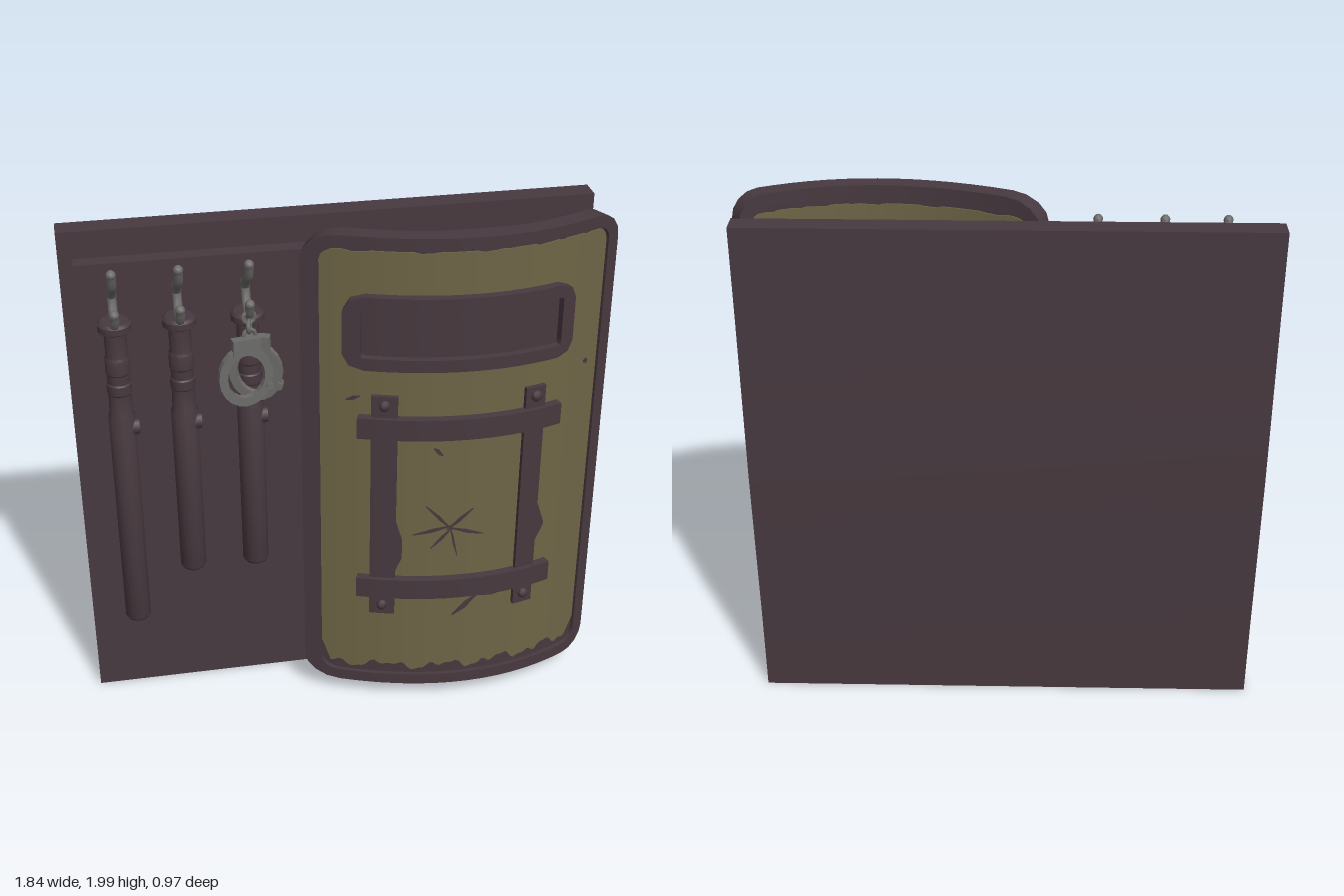
import * as THREE from 'three';
import { toCreasedNormals } from 'three/addons/utils/BufferGeometryUtils.js';

const paint = (name, color) => Object.assign(new THREE.MeshStandardMaterial({ color }), { name });

export function createModel() {
  const brown = paint('dark brown', 0x47393f);
  const olive = paint('worn olive', 0x6e6546);
  const metal = paint('grey metal', 0x6c6b69);
  const model = new THREE.Group();
  const group = (name, parent = model) => {
    const g = new THREE.Group();
    g.name = name;
    parent.add(g);
    return g;
  };
  const add = (parent, name, geo, mat, x = 0, y = 0, z = 0) => {
    const m = new THREE.Mesh(geo, mat);
    m.name = name;
    m.position.set(x, y, z);
    parent.add(m);
    return m;
  };

  // ---- Wall board, turned about the vertical axis
  const wall = group('wallRack');
  wall.position.z = -0.107;
  wall.rotation.y = -0.34;
  const boardGeo = new THREE.BoxGeometry(1.915, 1.975, 0.085, 1, 6, 1);
  const bp = boardGeo.attributes.position;
  for (let i = 0; i < bp.count; i++) { // slight swelling of the back
    const y = bp.getY(i);
    if (bp.getZ(i) < 0) bp.setZ(i, bp.getZ(i) - 0.016 * Math.max(0, 1 - Math.abs(y) / 0.7));
  }
  add(wall, 'board', toCreasedNormals(boardGeo, 0.5), brown, 0, 0.993, 0);
  add(wall, 'hookRail', new THREE.BoxGeometry(1.825, 0.2, 0.06), brown, 0.005, 1.78, 0.071);

  // ---- Hooks with two prongs
  const hookTube = (pts) => new THREE.TubeGeometry(
    new THREE.CatmullRomCurve3(pts.map(([y, z]) => new THREE.Vector3(0, y, z))), 10, 0.017, 7);
  const prongs = {
    upperProng: [[1.75, 0.105], [1.79, 0.135], [1.82, 0.18], [1.85, 0.225], [1.905, 0.25]],
    lowerProng: [[1.79, 0.105], [1.72, 0.13], [1.69, 0.175], [1.70, 0.215], [1.75, 0.24]],
  };
  // ---- Batons hanging below the hooks
  const batonProfile = (bottom) => [
    [0, bottom], [0.042, bottom], [0.049, bottom + 0.012], [0.049, 1.305], [0.043, 1.32],
    [0.041, 1.4], [0.045, 1.405], [0.045, 1.44], [0.041, 1.445], [0.041, 1.48], [0.045, 1.485],
    [0.045, 1.54], [0.04, 1.55], [0.04, 1.64], [0.06, 1.652], [0.06, 1.675], [0.05, 1.685], [0, 1.685],
  ].map(([r, y]) => new THREE.Vector2(r, y));
  [[-0.786, 0.41], [-0.561, 0.62], [-0.321, 0.62]].forEach(([x, bottom]) => {
    const hook = group('hook', wall);
    for (const [name, pts] of Object.entries(prongs)) {
      add(hook, name, hookTube(pts), metal, x);
      const [ty, tz] = pts[pts.length - 1];
      add(hook, 'prongTip', new THREE.SphereGeometry(0.018, 8, 6), metal, x, ty, tz);
    }
    const baton = group('baton', wall);
    const lathe = new THREE.LatheGeometry(batonProfile(bottom), 14);
    add(baton, 'batonBody', toCreasedNormals(lathe, 0.6), brown, x, 0, 0.147);
    const stud = add(baton, 'batonButton', new THREE.CylinderGeometry(0.03, 0.034, 0.03, 8), brown, x + 0.045, 1.26, 0.16);
    stud.rotation.z = -Math.PI / 2;
    stud.scale.z = 0.7;
  });

  // ---- Handcuffs on the third hook
  const cuffShape = new THREE.Shape().absellipse(0, 0, 0.1, 0.118, 0, Math.PI * 2);
  cuffShape.holes.push(new THREE.Path().absellipse(0, 0, 0.068, 0.084, 0, Math.PI * 2, true));
  const cuffGeo = new THREE.ExtrudeGeometry(cuffShape, { depth: 0.024, bevelEnabled: false, curveSegments: 10 });
  cuffGeo.translate(0, 0, -0.012);
  const cuffs = group('handcuffs', wall);
  [[-0.345, 0.243, 0.16, 1], [-0.305, 0.215, -0.3, 0.97]].forEach(([x, z, turn, s]) => {
    const cuff = group('cuff', cuffs);
    cuff.position.set(x, 1.475, z);
    cuff.rotation.y = turn;
    cuff.scale.setScalar(s);
    add(cuff, 'cuffRing', cuffGeo, metal);
    add(cuff, 'lockBlock', new THREE.BoxGeometry(0.1, 0.06, 0.034), metal, 0.005, 0.118, 0);
    add(cuff, 'hinge', new THREE.CylinderGeometry(0.016, 0.016, 0.04, 8).rotateX(Math.PI / 2), metal, 0.085, -0.05, 0);
  });
  for (let i = 0; i < 3; i++) {
    const link = add(cuffs, 'chainLink', new THREE.TorusGeometry(0.022, 0.008, 6, 10), metal, -0.325, 1.625 + i * 0.035, 0.225);
    link.rotation.y = i % 2 ? 1.3 : 0.2;
  }

  // ---- Curved shield: flat (x, y, depth) is bent along a cubic plan curve
  const planZ = (x) => 0.02 + (x + 0.19) * (0.845 + (x - 0.1) * (-0.663 + 0.0935 * (x - 0.5)));
  const bend = (x, y, d) => {
    const slope = (planZ(x + 0.01) - planZ(x - 0.01)) / 0.02;
    const n = Math.hypot(slope, 1);
    return [x - (slope / n) * d, y, planZ(x) + d / n];
  };
  // Skin over four-point rings, either capped or closed into a loop
  const skin = (rings, closed) => {
    const index = [];
    const n = rings.length;
    for (let i = 0; i < (closed ? n : n - 1); i++) {
      for (let k = 0; k < 4; k++) {
        const a = i * 4 + k, b = i * 4 + (k + 1) % 4, j = ((i + 1) % n) * 4;
        const a1 = j + k, b1 = j + (k + 1) % 4;
        index.push(a, b, b1, a, b1, a1);
      }
    }
    const e = (n - 1) * 4;
    if (!closed) index.push(0, 2, 1, 0, 3, 2, e, e + 1, e + 2, e, e + 2, e + 3);
    const geo = new THREE.BufferGeometry();
    geo.setAttribute('position', new THREE.Float32BufferAttribute(rings.flat(2), 3));
    geo.setIndex(index);
    return toCreasedNormals(geo, 0.5);
  };
  const slab = (x0, x1, lo, hi, d0, d1, n = 12) => {
    const at = (f, x) => (typeof f === 'function' ? f(x) : f);
    return skin(Array.from({ length: n + 1 }, (_, i) => {
      const x = x0 + ((x1 - x0) * i) / n, l = at(lo, x), h = at(hi, x);
      return [bend(x, l, d0), bend(x, h, d0), bend(x, h, d1), bend(x, l, d1)];
    }), false);
  };
  const outline = (x0, x1, y0, y1, r, arc, inset) => {
    const corners = [[x1 - r, y0 + r], [x1 - r, y1 - r], [x0 + r, y1 - r], [x0 + r, y0 + r]];
    const pts = [];
    corners.forEach(([cx, cy], c) => {
      const q = r - inset;
      for (let i = 0; i <= arc; i++) {
        const t = (c - 1 + i / arc) * Math.PI / 2;
        pts.push([cx + q * Math.cos(t), cy + q * Math.sin(t)]);
      }
      const [ex, ey] = pts[pts.length - 1], [nx, ny] = corners[(c + 1) % 4], t = c * Math.PI / 2;
      const tx = nx + q * Math.cos(t), ty = ny + q * Math.sin(t);
      for (let i = 1; i < 14; i++) pts.push([ex + (tx - ex) * i / 14, ey + (ty - ey) * i / 14]);
    });
    return pts;
  };
  const frame = (x0, x1, y0, y1, r, arc, w, d0, d1) => {
    const outer = outline(x0, x1, y0, y1, r, arc, 0), inner = outline(x0, x1, y0, y1, r, arc, w);
    return skin(outer.map((o, i) => [bend(...o, d0), bend(...inner[i], d0), bend(...inner[i], d1), bend(...o, d1)]), true);
  };
  const round = (x, x0, x1, r) => {
    const e = Math.max(0, Math.min(x - x0, x1 - x));
    return e < r ? r - Math.sqrt(r * r - (r - e) ** 2) : 0;
  };
  const rag = (x) => 0.012 * Math.sin(x * 31) + 0.01 * Math.sin(x * 67 + 1) + 0.006 * Math.sin(x * 131);

  const shield = group('shield');
  const L = -0.185, R = 0.85;
  add(shield, 'shieldBody', slab(L + 0.01, R - 0.01, (x) => 0.09 + round(x, L, R, 0.1), (x) => 1.985 - round(x, L, R, 0.1), -0.018, 0.018, 48), brown);
  add(shield, 'shieldRim', frame(L, R, 0.08, 2, 0.1, 4, 0.046, -0.034, 0.034), brown);
  const left = -0.15, right = 0.808;
  const low = (x) => 0.165 + rag(x) + 0.13 * Math.max(0, 1 - (x - left) / 0.035) + 0.1 * Math.max(0, 1 - (right - x) / 0.04);
  const high = (x) => 1.945 - round(x, left, right, 0.05) + 0.3 * Math.min(0, rag(x));
  add(shield, 'frontPaint', slab(left, right, low, high, 0.017, 0.023, 80), olive);
  add(shield, 'backPaint', slab(left + 0.02, right - 0.02, low, (x) => high(x) - 0.02, -0.023, -0.017, 60), olive);

  // ---- Viewing window
  add(shield, 'windowPane', slab(-0.06, 0.63, 1.52, 1.76, -0.028, 0.028, 20), brown);
  [[0.02, 0.055], [-0.036, -0.016]].forEach(([d0, d1]) =>
    add(shield, 'windowFrame', frame(-0.075, 0.655, 1.5, 1.785, 0.058, 2, 0.048, d0, d1), brown));

  // ---- Strap frame with bolts
  const straps = group('straps', shield);
  [0.002, 0.495].forEach((x) => {
    add(straps, 'uprightStrap', slab(x, x + 0.076, 0.43, 1.39, 0.015, 0.04, 3), brown);
    [0.475, 1.355].forEach((y) => {
      const [bx, by, bz] = bend(x + 0.038, y, 0.042);
      const bolt = add(straps, 'bolt', new THREE.SphereGeometry(0.022, 8, 6), brown, bx, by, bz);
      bolt.scale.z = 0.8;
    });
  });
  [0.515, 1.22].forEach((y) =>
    add(straps, 'crossStrap', slab(-0.035, 0.63, y, y + 0.085, 0.018, 0.056, 14), brown));

  // ---- Bare patches and cracks in the paint
  const wear = group('paintWear', shield);
  const mark = (x0, y0, x1, y1, w) => {
    const t = (x) => (x - x0) / (x1 - x0);
    const mid = (x) => y0 + (y1 - y0) * t(x), half = (x) => w * (1 - 0.8 * Math.abs(2 * t(x) - 1));
    add(wear, 'crack', slab(x0, x1, (x) => mid(x) - half(x), (x) => mid(x) + half(x), 0.02, 0.026, 6), brown);
  };
  [[0.13, 0.79, 0.26, 0.83, 0.008], [0.24, 0.81, 0.33, 0.9, 0.01], [0.25, 0.82, 0.37, 0.78, 0.008],
    [0.17, 0.92, 0.26, 0.81, 0.01], [0.19, 0.73, 0.26, 0.82, 0.009], [0.25, 0.83, 0.28, 0.69, 0.022],
    [0.19, 1.17, 0.22, 1.14, 0.012], [0.27, 0.41, 0.36, 0.5, 0.016], [0.33, 0.5, 0.5, 0.51, 0.02],
    [-0.07, 1.36, -0.03, 1.38, 0.009], [0.74, 1.43, 0.76, 1.43, 0.012]].forEach((m) => mark(...m));
  add(wear, 'barePatch', slab(0.07, 0.098, (x) => 0.6 + 3 * (x - 0.07), (x) => 0.88 - 4 * (x - 0.07), 0.02, 0.026, 4), brown);
  add(wear, 'barePatch', slab(0.57, 0.612, (x) => 0.68 + 2 * (x - 0.57), (x) => 0.9 - 3 * (x - 0.57), 0.02, 0.026, 4), brown);

  return model;
}
